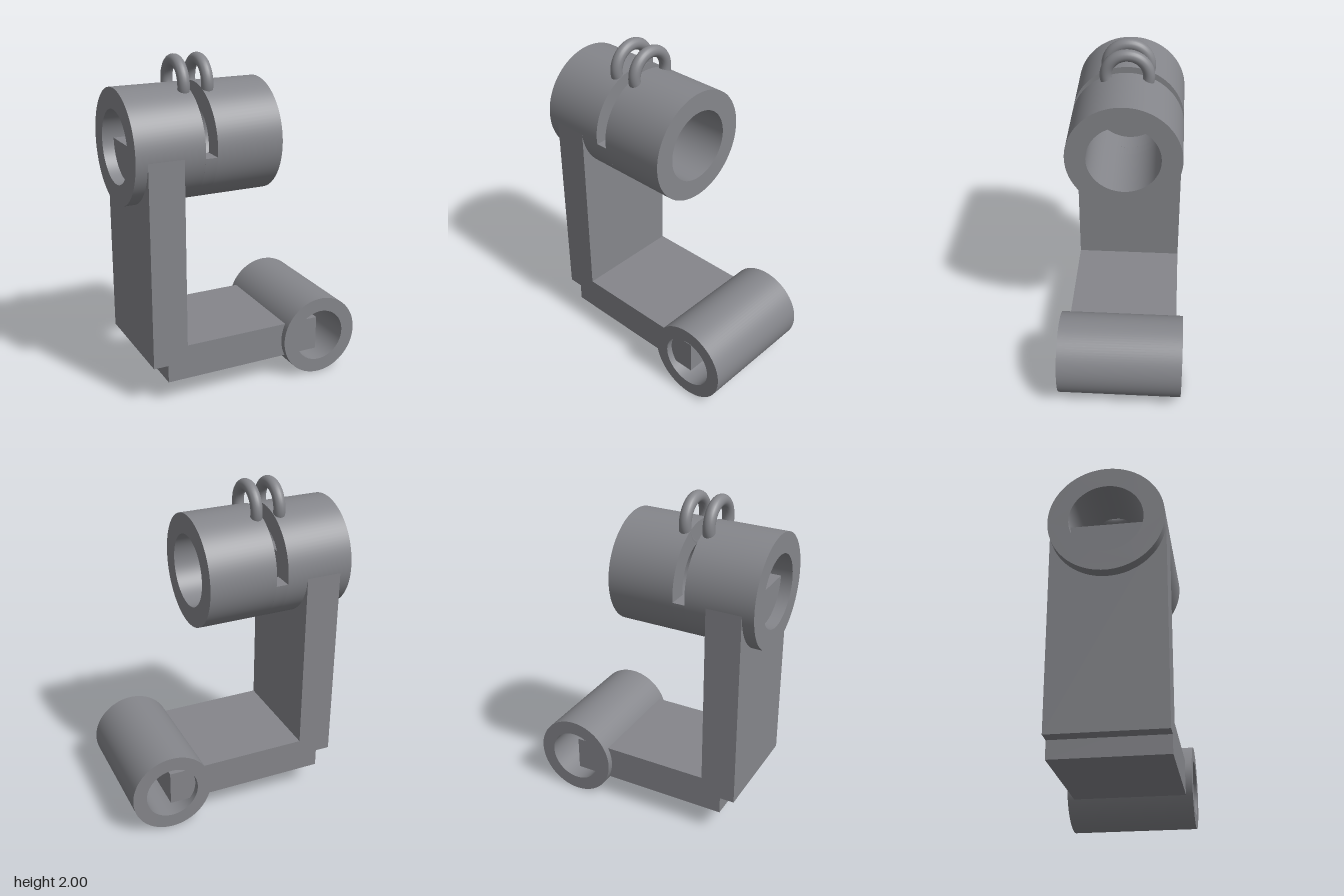
import * as THREE from 'three';
import { toCreasedNormals } from 'three/addons/utils/BufferGeometryUtils.js';

const SEGMENTS = 48;

// Extrude a profile along z, centred on z = 0, keeping rims sharp
function extrude(shape, length) {
  const geo = new THREE.ExtrudeGeometry(shape, { depth: length, bevelEnabled: false, curveSegments: SEGMENTS });
  geo.translate(0, 0, -length / 2);
  return toCreasedNormals(geo, 0.6);
}

// Open pipe along z
function pipe(outer, inner, length) {
  const shape = new THREE.Shape().absarc(0, 0, outer, 0, Math.PI * 2, false);
  shape.holes.push(new THREE.Path().absarc(0, 0, inner, 0, Math.PI * 2, true));
  return extrude(shape, length);
}

// Lower part of a pipe, cut level at height cut
function trough(outer, inner, cut, length) {
  const a = Math.asin(cut / outer);
  const b = Math.asin(cut / inner);
  const shape = new THREE.Shape();
  shape.absarc(0, 0, outer, -Math.PI - a, a, false);
  shape.absarc(0, 0, inner, b, -Math.PI - b, true);
  shape.closePath();
  return extrude(shape, length);
}

export function createModel() {
  const model = new THREE.Group();
  model.name = 'pipeBracket';
  const grey = new THREE.MeshStandardMaterial({ color: 0x85868b });
  grey.name = 'grey';

  function add(name, geometry, x, y, z = 0) {
    const mesh = new THREE.Mesh(geometry, grey);
    mesh.name = name;
    mesh.position.set(x, y, z);
    model.add(mesh);
    return mesh;
  }
  // Box given by its x and y limits
  function addBox(name, x0, x1, y0, y1, depth) {
    add(name, new THREE.BoxGeometry(x1 - x0, y1 - y0, depth), (x0 + x1) / 2, (y0 + y1) / 2);
  }

  // Upper pipe along x, split by a slot that leaves the lower half joined
  const outer = 0.336, inner = 0.215, axisY = 1.503;
  const sections = [
    ['upperPipeOuterEnd', -0.705, -0.295, pipe],
    ['upperPipeInnerEnd', -0.222, 0.185, pipe],
    ['upperPipeSlotFloor', -0.295, -0.222, (o, i, l) => trough(o, i, -0.037, l)],
  ];
  for (const [name, x0, x1, make] of sections) {
    add(name, make(outer, inner, x1 - x0), (x0 + x1) / 2, axisY).rotation.y = Math.PI / 2;
  }

  // Clamp rings on both sides of the slot
  for (const [name, x] of [['outerClampRing', -0.332], ['innerClampRing', -0.188]]) {
    add(name, new THREE.TorusGeometry(0.125, 0.035, 20, SEGMENTS), x, 1.84).rotation.y = Math.PI / 2;
  }

  // Upright plate reaching into the upper pipe, and the arm below it
  addBox('uprightPlate', -0.635, -0.422, 0.255, 1.503, 0.67);
  addBox('lowerArm', -0.546, 0.451, 0.148, 0.36, 0.67);

  // Lower pipe along z
  add('lowerPipe', pipe(0.248, 0.163, 0.75), 0.453, 0.253);

  return model;
}
